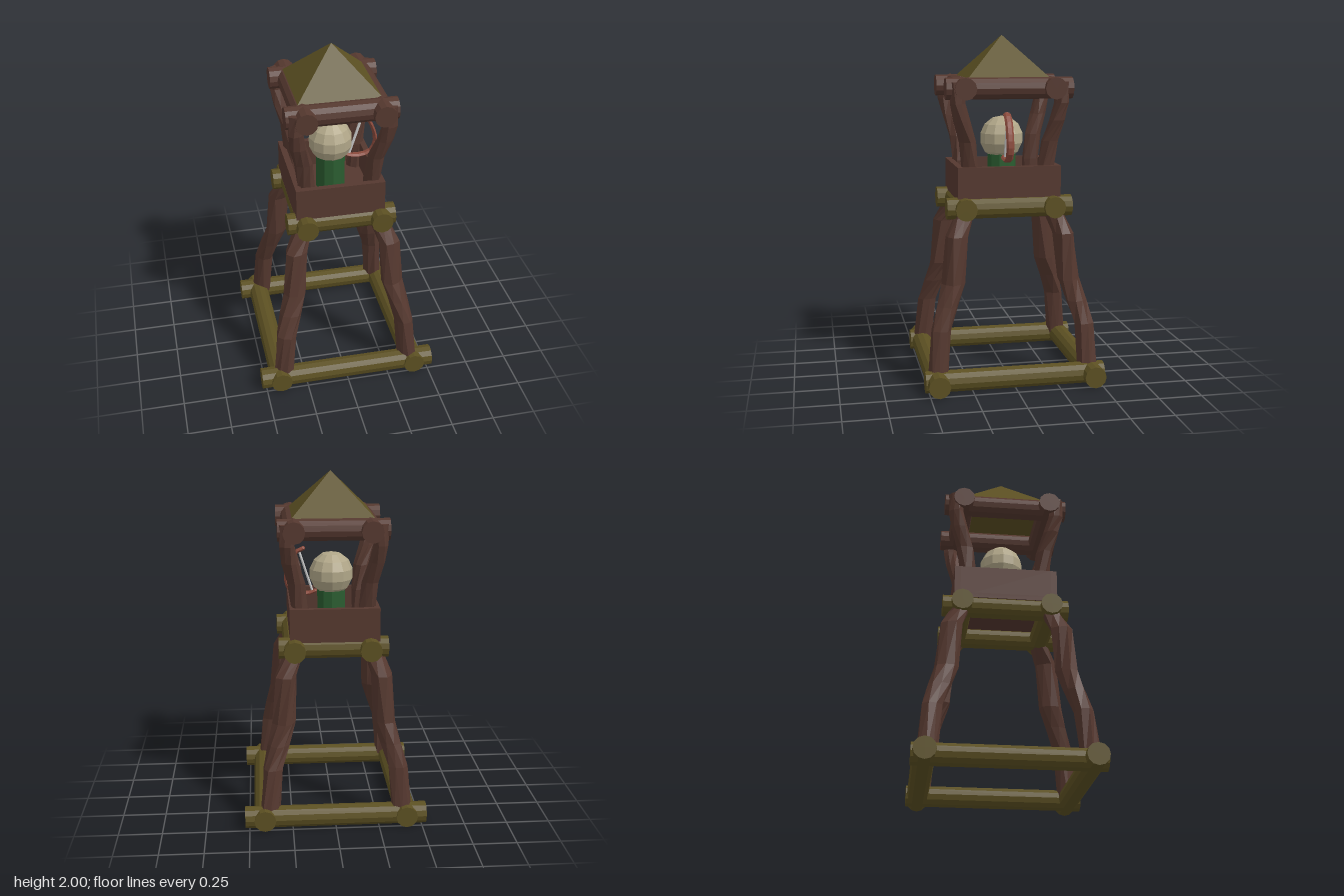
import * as THREE from 'three';

const mat = (color, side = THREE.FrontSide) =>
  new THREE.MeshStandardMaterial({ color, flatShading: true, side });

export function createModel() {
  const model = new THREE.Group();
  const olive = mat(0x5c5022), brown = mat(0x55382f), beige = mat(0xb0a688);
  const green = mat(0x2a5c30), red = mat(0x8a4a3c), grey = mat(0xcccccc);

  const add = (name, geometry, material, x = 0, y = 0, z = 0, parent = model) => {
    const mesh = new THREE.Mesh(geometry, material);
    mesh.name = name;
    mesh.position.set(x, y, z);
    parent.add(mesh);
    return mesh;
  };

  // Square of crossing logs: sx/sz are log positions, lx/lz their half lengths
  const logFrame = (name, y, sx, sz, lx, lz, material) => {
    const frame = new THREE.Group();
    frame.name = name;
    const r = 0.0625;
    for (const z of sz)
      add('crossLog', new THREE.CylinderGeometry(r, r, lx * 2, 12), material, 0, y, z, frame).rotation.z = Math.PI / 2;
    for (const x of sx)
      add('sideLog', new THREE.CylinderGeometry(r, r, lz * 2, 12), material, x, y, 0, frame).rotation.x = Math.PI / 2;
    model.add(frame);
  };
  logFrame('baseFrame', 0.0625, [-0.41, 0.41], [-0.45, 0.45], 0.525, 0.52, olive);
  logFrame('platformFrame', 1.022, [-0.21, 0.225], [-0.255, 0.26], 0.315, 0.365, olive);
  logFrame('roofFrame', 1.703, [-0.21, 0.225], [-0.255, 0.26], 0.315, 0.365, brown);

  // Crooked trunk: horizontal rings [x, y, z, radius], each twisted a little more
  const trunk = (rings, twist, sides = 8) => {
    const pos = [], index = [];
    rings.forEach(([x, y, z, r], i) => {
      for (let k = 0; k < sides; k++) {
        const a = (k / sides) * Math.PI * 2 + i * twist;
        const rr = r * (k % 3 === 0 ? 0.9 : 1.04);
        pos.push(x + rr * Math.cos(a), y, z + rr * Math.sin(a));
        if (i === 0) continue;
        const n = (k + 1) % sides, lo = (i - 1) * sides, hi = i * sides;
        index.push(lo + k, hi + k, lo + n, lo + n, hi + k, hi + n);
      }
    });
    // End caps
    const top = (rings.length - 1) * sides;
    for (let k = 1; k < sides - 1; k++)
      index.push(0, k, k + 1, top, top + k + 1, top + k);
    const g = new THREE.BufferGeometry();
    g.setAttribute('position', new THREE.Float32BufferAttribute(pos, 3));
    g.setIndex(index);
    g.computeVertexNormals();
    return g;
  };

  // Legs and roof posts at the four corners
  const legPath = [
    [0.385, 0.05, 0.44, 0.06], [0.36, 0.35, 0.415, 0.058], [0.325, 0.48, 0.375, 0.062],
    [0.292, 0.6, 0.338, 0.066], [0.275, 0.87, 0.313, 0.064], [0.235, 0.97, 0.27, 0.058], [0.22, 1.05, 0.25, 0.055],
  ];
  const postPath = [
    [0.19, 1.06, 0.22, 0.048], [0.193, 1.25, 0.22, 0.05], [0.21, 1.4, 0.238, 0.05],
    [0.245, 1.52, 0.275, 0.047], [0.262, 1.62, 0.3, 0.044], [0.262, 1.74, 0.3, 0.044],
  ];
  for (const sx of [-1, 1]) for (const sz of [-1, 1]) {
    const place = path => path.map(([x, y, z, r]) => [x * sx, y, z * sz, r]);
    const corner = (sz > 0 ? 'front' : 'back') + (sx > 0 ? 'Left' : 'Right');
    add(corner + 'Leg', trunk(place(legPath), 0.3 * sx * sz), brown);
    add(corner + 'Post', trunk(place(postPath), 0.3 * sx * sz), brown);
  }

  // Open lookout box
  const box = new THREE.Group();
  box.name = 'lookoutBox';
  const cx = -0.007, w = 0.515, d = 0.6, t = 0.035, y0 = 1.06, y1 = 1.257;
  const h = y1 - y0, cy = (y0 + y1) / 2;
  add('floor', new THREE.BoxGeometry(w, 0.03, d), brown, cx, y0 + 0.015, 0, box);
  for (const s of [-1, 1]) {
    add('endWall', new THREE.BoxGeometry(w, h, t), brown, cx, cy, s * (d - t) / 2, box);
    add('sideWall', new THREE.BoxGeometry(t, h, d - 2 * t), brown, cx + s * (w - t) / 2, cy, 0, box);
  }
  model.add(box);

  // Pyramid roof
  const roof = new THREE.ConeGeometry(0.235 * Math.SQRT2, 0.24, 4);
  roof.rotateY(Math.PI / 4);
  add('roof', roof, olive, 0, 1.88, 0);

  // Lookout figure
  add('figureBody', new THREE.CylinderGeometry(0.085, 0.085, 0.24, 10), green, -0.005, 1.2, 0);
  add('figureHead', new THREE.SphereGeometry(0.13, 12, 7), beige, -0.005, 1.4, 0);

  // Bow: flat curved limb in the xy plane, with a straight string
  const bow = new THREE.Group();
  bow.name = 'bow';
  const limb = [[0.16, 1.55], [0.205, 1.525], [0.25, 1.44], [0.262, 1.36], [0.235, 1.3], [0.14, 1.28], [0.09, 1.295]]
    .map(([x, y]) => new THREE.Vector3(x, y, 0));
  const path = new THREE.CatmullRomCurve3(limb);
  const limbGeometry = new THREE.TubeGeometry(path, 12, 0.012, 6, false);
  limbGeometry.scale(1, 1, 1.9);
  add('bowLimb', limbGeometry, mat(0x8a4a3c, THREE.DoubleSide), 0, 0, 0, bow);
  for (const p of [limb[0], limb[limb.length - 1]])
    add('bowTip', new THREE.SphereGeometry(0.013, 6, 4), red, p.x, p.y, 0, bow).scale.z = 1.7;
  const a = new THREE.Vector3(0.185, 1.54, 0), b = new THREE.Vector3(0.105, 1.29, 0);
  const string = add('bowString', new THREE.CylinderGeometry(0.008, 0.008, a.distanceTo(b), 6), grey, 0, 0, 0, bow);
  string.position.copy(a).lerp(b, 0.5);
  string.quaternion.setFromUnitVectors(new THREE.Vector3(0, 1, 0), a.clone().sub(b).normalize());
  model.add(bow);

  return model;
}
